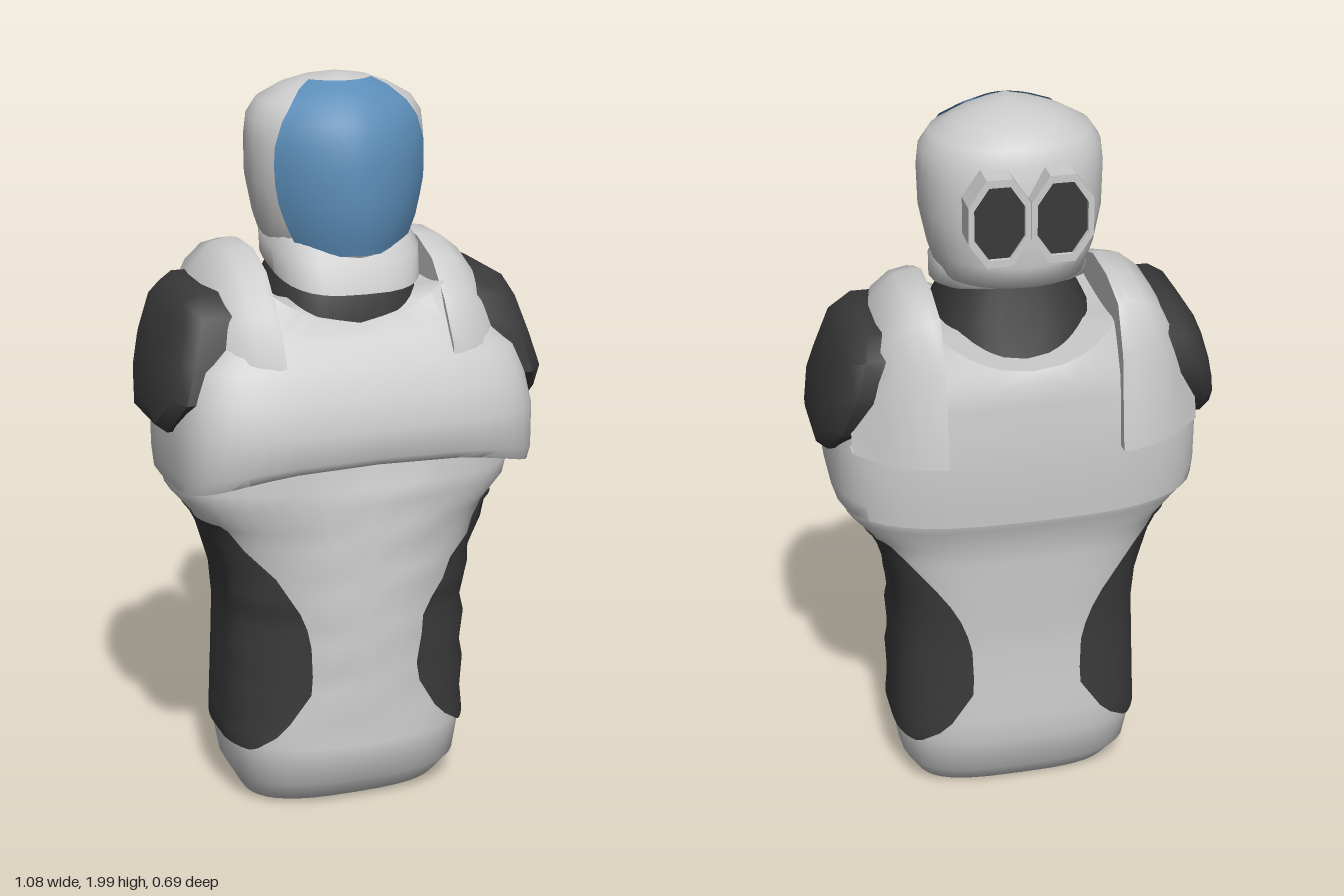
import * as THREE from 'three';
import { toCreasedNormals } from 'three/addons/utils/BufferGeometryUtils.js';

const light = new THREE.MeshStandardMaterial({ color: 0xcccccc, side: THREE.DoubleSide });
const dark = new THREE.MeshStandardMaterial({ color: 0x3a3a3a, side: THREE.DoubleSide });
const glass = new THREE.MeshStandardMaterial({ color: 0x5b8db8, side: THREE.DoubleSide });

// Skin a list of equal-length rings of [x, y, z] points.
function loft(rings, closed = true, crease = 0.9) {
  const n = rings[0].length;
  const pos = [];
  const near = (p, q) => Math.hypot(p[0] - q[0], p[1] - q[1], p[2] - q[2]) < 1e-6;
  const tri = (a, b, c) => {
    if (!near(a, b) && !near(b, c) && !near(a, c)) pos.push(...a, ...b, ...c);
  };
  for (let r = 0; r + 1 < rings.length; r++) {
    for (let i = 0; i < (closed ? n : n - 1); i++) {
      const j = (i + 1) % n;
      const lo = rings[r], hi = rings[r + 1];
      tri(lo[i], hi[i], lo[j]);
      tri(lo[j], hi[i], hi[j]);
    }
  }
  const g = new THREE.BufferGeometry();
  g.setAttribute('position', new THREE.Float32BufferAttribute(pos, 3));
  return toCreasedNormals(g, crease);
}

const mirror = rings => rings.map(r => r.map(([x, y, z]) => [-x, y, z]).reverse());

function add(group, name, geometry, material) {
  const m = new THREE.Mesh(geometry, material);
  m.name = name;
  group.add(m);
  return m;
}

// Rounded-box arc: row = [y, half width, z front, z back], roundness for front and back.
const spow = (v, e) => Math.sign(v) * Math.abs(v) ** e;
function arc([y, w, zf, zb], eFront, eBack, n, from, to) {
  return Array.from({ length: n }, (_, i) => {
    const t = from + (to - from) * i / (n - 1);
    const e = Math.sin(t) > 0 ? eFront : eBack;
    const s = spow(Math.sin(t), e);
    return [w * spow(Math.cos(t), e), y, s > 0 ? zf * s : -zb * s];
  });
}

// Full cross-section.
const section = (row, eFront, eBack, n = 17) => [
  ...arc(row, eFront, eBack, n, 0, Math.PI), ...arc(row, eFront, eBack, n, Math.PI, Math.PI * 2)];

// Row at any height, interpolated from a table.
function rowAt(rows, y) {
  const i = Math.max(1, rows.findIndex(r => r[0] >= y));
  const k = (y - rows[i - 1][0]) / (rows[i][0] - rows[i - 1][0]);
  return rows[i].map((v, c) => THREE.MathUtils.lerp(rows[i - 1][c], v, k));
}

// Row grown outwards by d.
const grow = ([y, w, zf, zb], d) => [y, w + d, zf + d, zb - d];

export function createModel() {
  const model = new THREE.Group();

  // Lower torso; the fifth value is the belly fold, which fades out sideways
  const torso = [
    [0.01, 0, 0, 0, 0], [0.011, 0.28, 0.17, -0.15, 0], [0.09, 0.325, 0.25, -0.22, 0],
    [0.2, 0.343, 0.258, -0.245, 0.007], [0.27, 0.34, 0.247, -0.245, 0], [0.36, 0.337, 0.246, -0.238, 0.024],
    [0.41, 0.335, 0.246, -0.236, 0.004], [0.5, 0.332, 0.25, -0.233, 0.035], [0.55, 0.33, 0.252, -0.234, 0.008],
    [0.65, 0.338, 0.262, -0.24, 0.038], [0.7, 0.352, 0.264, -0.242, 0.006], [0.78, 0.376, 0.266, -0.244, 0.039],
    [0.83, 0.402, 0.27, -0.248, 0.005], [0.9, 0.465, 0.28, -0.268, 0.02], [0.94, 0.475, 0.28, -0.285, 0],
    [1.06, 0.45, 0.27, -0.27, 0],
  ];
  const FRONT = 0.72, BACK = 0.64;
  add(model, 'torso', loft(torso.map(r => section(r, FRONT, BACK, 21).map(([x, y, z]) =>
    [x, y, z > 0 ? z + r[4] * Math.max(0, 1 - (x / 0.24) ** 2) ** 2 : z])), true, 1.3), light);

  // Dark side panels: [y, x of the front and back edge]
  const edges = [[0.19, 0.3], [0.2, 0.285], [0.235, 0.24], [0.27, 0.208], [0.36, 0.15], [0.41, 0.147],
    [0.5, 0.15], [0.55, 0.162], [0.6, 0.18], [0.65, 0.207], [0.7, 0.243], [0.78, 0.31], [0.83, 0.355],
    [0.845, 0.375]];
  const panel = edges.map(([y, x]) => {
    const row = rowAt(torso, y);
    const a = e => Math.acos((x / row[1]) ** (1 / e));
    return [...arc(grow(row, 0.006), FRONT, BACK, 14, -a(BACK), 0),
      ...arc(grow(row, 0.006 + row[4] * 0.35), FRONT, BACK, 14, 0, a(FRONT)).map(([px, py, pz]) =>
        [Math.min(px, row[1] + 0.006), py, pz])];
  });
  add(model, 'leftSidePanel', loft(panel, false), dark);
  add(model, 'rightSidePanel', loft(mirror(panel), false), dark);

  // Chest shell: fifth value arches the front edge, sixth raises the sides of the neckline
  const chest = [
    [0.92, 0.46, 0.285, -0.275, 0.1, 0], [0.945, 0.49, 0.335, -0.32, 0.08, 0], [0.99, 0.495, 0.35, -0.322, 0.055, 0],
    [1.12, 0.495, 0.35, -0.328, 0, 0], [1.2, 0.48, 0.33, -0.322, 0, 0], [1.28, 0.455, 0.29, -0.315, 0, 0],
    [1.34, 0.39, 0.25, -0.31, 0, 0], [1.37, 0.28, 0.2, -0.29, 0, 0.09], [1.37, 0, 0, 0, 0, 0],
  ];
  add(model, 'chest', loft(chest.map(r => section(r, 0.44, 0.68, 21).map(([x, y, z]) => {
    const front = Math.min(1, Math.max(0, z) / 0.2);
    return [x, y + r[4] * front * (1 - Math.abs(x / 0.5) ** 3) + r[5] * Math.min(1, (x / 0.24) ** 2), z];
  }))), light);

  // Shoulder yokes: one arched (z, y) profile shrinking outwards
  const arch = [[0.285, 1.2], [0.28, 1.31], [0.21, 1.42], [0.12, 1.51], [0.01, 1.55],
    [-0.13, 1.55], [-0.25, 1.52], [-0.31, 1.4], [-0.345, 1.14]];
  const yoke = [[0.23, 0, 0], [0.23, 1, 0.99], [0.25, 1, 1], [0.3, 0.96, 0.98], [0.35, 0.89, 0.88],
    [0.39, 0.81, 0.7], [0.46, 0.6, 0.3]].map(([x, sz, sy]) =>
    arch.map(([z, y]) => [x, 1.15 + (y - 1.15) * sy, -0.03 + (z + 0.03) * sz]));
  add(model, 'leftShoulder', loft(yoke), light);
  add(model, 'rightShoulder', loft(mirror(yoke)), light);

  // Dark domed arm sockets, sloping outwards towards the bottom
  const rim = [[0.23, 1.2], [0.21, 1.3], [0.17, 1.41], [0.1, 1.46], [-0.17, 1.46],
    [-0.235, 1.41], [-0.245, 1.3], [-0.2, 1.19], [-0.1, 1.105], [0.13, 1.105]];
  const socket = [[-0.14, 1], [-0.03, 1], [0.005, 0.88], [0.022, 0.65], [0.025, 0]].map(([dx, s]) =>
    rim.map(([z, y]) => {
      const yy = 1.28 + (y - 1.28) * s;
      return [0.435 + (1.46 - yy) * 0.29 + dx, yy, -0.01 + (z + 0.01) * s];
    }));
  add(model, 'leftArmSocket', loft(socket), dark);
  add(model, 'rightArmSocket', loft(mirror(socket)), dark);

  // Neck
  const neck = [[1.34, 0.2, 0.2, -0.23], [1.45, 0.2, 0.19, -0.18], [1.57, 0.14, 0.12, -0.14]];
  add(model, 'neck', loft(neck.map(r => section(r, 0.7, 0.7))), dark);

  // Helmet and jaw guard: fifth value tips the lower rings down towards the chin
  const tip = (rows, eFront, eBack) => loft(rows.map(r =>
    section(r, eFront, eBack).map(([x, y, z]) => [x, y - r[4] * z, z])), true, 1.1);
  const helmet = [
    [1.53, 0, 0, 0, 0.15], [1.53, 0.15, 0.17, -0.18, 0.15], [1.55, 0.19, 0.2, -0.22, 0.1],
    [1.63, 0.216, 0.222, -0.23, 0], [1.73, 0.237, 0.226, -0.232, 0],
    [1.83, 0.24, 0.215, -0.222, 0], [1.89, 0.234, 0.19, -0.205, 0], [1.93, 0.207, 0.165, -0.19, 0],
    [1.965, 0.145, 0.115, -0.14, 0], [1.985, 0.09, 0.08, -0.08, 0], [2.0, 0, 0.05, 0, 0],
  ];
  const FACE = 1.12;
  add(model, 'helmet', tip(helmet, FACE, 0.92), light);
  const jaw = [
    [1.5, 0, 0, 0, 0.25], [1.5, 0.17, 0.2, -0.14, 0.25], [1.515, 0.2, 0.238, -0.17, 0.25],
    [1.575, 0.203, 0.212, -0.17, 0.2], [1.61, 0.18, 0.17, -0.14, 0.15],
  ];
  add(model, 'jawGuard', tip(jaw, 0.66, 0.85), light);

  // Visor hugging the front of the helmet: [y, half width]
  const visor = [[1.55, 0.12], [1.575, 0.148], [1.63, 0.172], [1.68, 0.187], [1.73, 0.196], [1.78, 0.198],
    [1.83, 0.196], [1.89, 0.178], [1.93, 0.152], [1.965, 0.115], [1.985, 0.078]];
  add(model, 'visor', loft(visor.map(([y, x]) => {
    const row = rowAt(helmet, y);
    const a = Math.acos((x / row[1]) ** (1 / FACE));
    return arc(grow(row, 0.009), FACE, FACE, 17, a, Math.PI - a);
  }), false, 1.2), glass);

  // Twin vents on the back of the helmet
  const octagon = (Type, rx, ry) => {
    const s = new Type();
    for (let i = 0; i < 8; i++) {
      const a = (i + 0.5) * Math.PI / 4;
      s[i ? 'lineTo' : 'moveTo'](rx * Math.cos(a), ry * Math.sin(a));
    }
    s.closePath();
    return s;
  };
  for (const [side, x] of [['left', 0.08], ['right', -0.08]]) {
    const shape = octagon(THREE.Shape, 0.086, 0.126);
    shape.holes.push(octagon(THREE.Path, 0.07, 0.104));
    const ring = add(model, side + 'VentRing',
      new THREE.ExtrudeGeometry(shape, { depth: 0.08, bevelEnabled: false }), light);
    ring.position.set(x, 1.77, -0.263);
    const core = add(model, side + 'VentCore',
      new THREE.ShapeGeometry(octagon(THREE.Shape, 0.072, 0.106)), dark);
    core.rotation.y = Math.PI;
    core.position.set(x, 1.77, -0.252);
  }
  return model;
}
